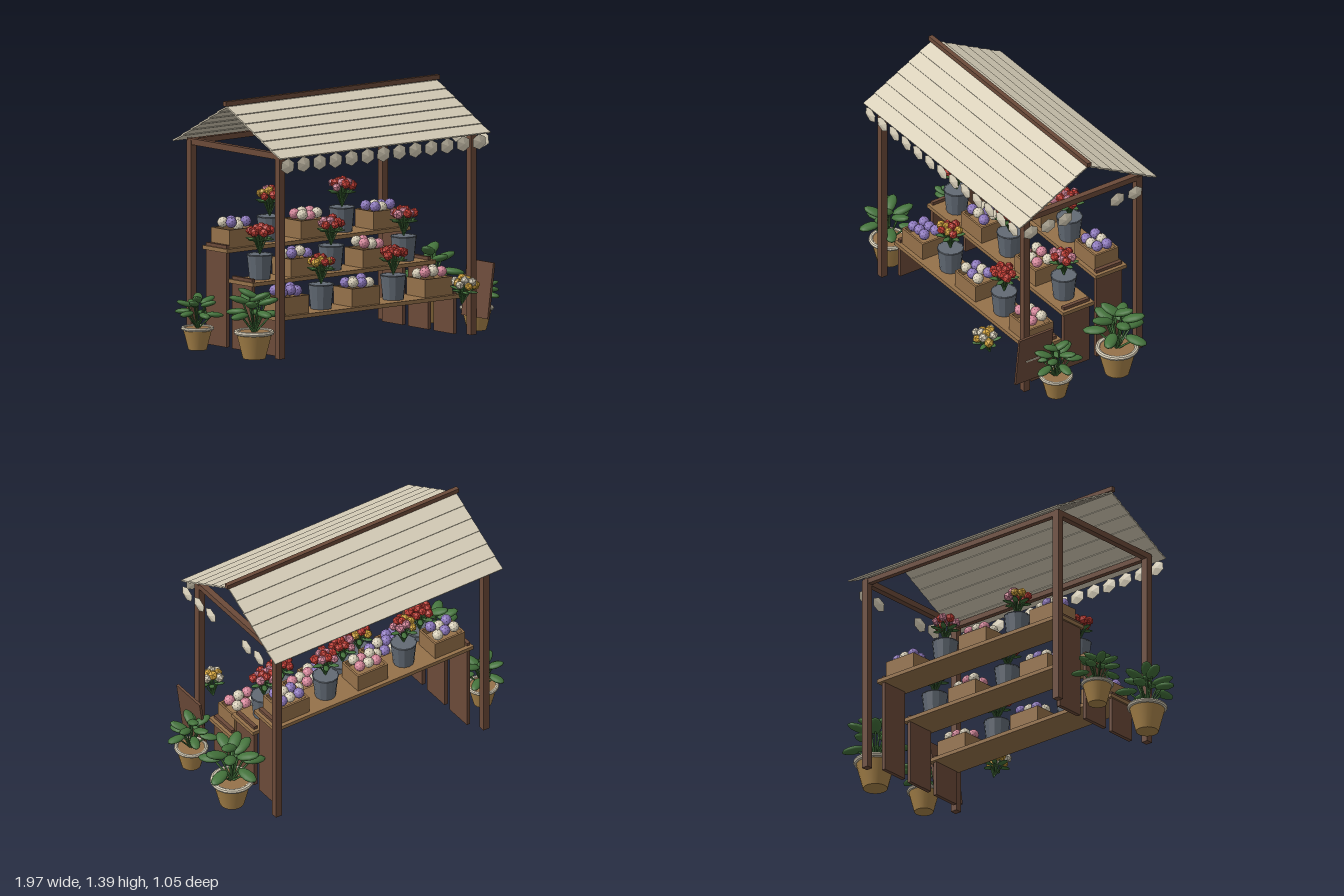
import * as THREE from 'three';

const mat = (name, color, flatShading = false) =>
  Object.assign(new THREE.MeshStandardMaterial({ color, flatShading }), { name });

export function createModel() {
  const darkWood = mat('dark wood', 0x6b4a39);
  const tanWood = mat('tan wood', 0x95714a);
  const terracotta = mat('ochre pot', 0xa9844a);
  const steel = mat('bucket steel', 0x626a74, true);
  const green = mat('leaf green', 0x44733c);
  const cream = mat('cream', 0xd9d0ba, true);
  const red = mat('petal red', 0xc63f36, true);
  const pink = mat('petal pink', 0xd6879b, true);
  const yellow = mat('petal yellow', 0xd8a840, true);
  const purple = mat('petal purple', 0x8d78bd, true);

  const model = new THREE.Group();
  let seed = 7;
  const rand = () => (seed = (seed * 16807) % 2147483647) / 2147483647;
  const V = (x, y, z) => new THREE.Vector3(x, y, z);

  const add = (parent, name, geo, material, x = 0, y = 0, z = 0) => {
    const m = new THREE.Mesh(geo, material);
    m.name = name;
    m.position.set(x, y, z);
    parent.add(m);
    return m;
  };
  const box = (parent, name, material, w, h, d, x, y, z) =>
    add(parent, name, new THREE.BoxGeometry(w, h, d), material, x, y, z);
  const group = (name, x, y, z, parent = model) => {
    const g = new THREE.Group();
    g.name = name;
    g.position.set(x, y, z);
    parent.add(g);
    return g;
  };
  const stem = (parent, a, b, r) => {
    const d = b.clone().sub(a);
    const m = add(parent, 'stem', new THREE.CylinderGeometry(r, r, d.length(), 5), green);
    m.position.copy(a).add(b).multiplyScalar(0.5);
    m.quaternion.setFromUnitVectors(V(0, 1, 0), d.normalize());
  };
  const leafGeo = new THREE.SphereGeometry(1, 10, 8);
  const leaf = (parent, pos, yaw, pitch, len, wide, thick) => {
    const m = add(parent, 'leaf', leafGeo, green, pos.x, pos.y, pos.z);
    m.rotation.set(0, yaw, pitch, 'YXZ');
    m.scale.set(len, thick, wide);
  };

  // Frame: posts, top rails and ridge
  const CX = -0.04, RZ = -0.067;
  for (const x of [-0.73, 0.65]) {
    for (const z of [0.307, -0.442]) box(model, 'post', darkWood, 0.04, 1.13, 0.04, x, 0.565, z);
    box(model, 'sideRail', darkWood, 0.035, 0.034, 0.785, x, 1.123, RZ);
  }
  for (const z of [0.307, -0.442]) box(model, 'longRail', darkWood, 1.4, 0.03, 0.03, CX, 1.123, z);
  box(model, 'ridgeBeam', darkWood, 1.54, 0.026, 0.026, CX, 1.379, RZ);

  // Roof of lapped boards
  const boards = 6, rise = 0.24, run = 0.45, slope = Math.atan2(rise, run);
  const boardLength = Math.hypot(rise, run) / boards;
  for (const s of [1, -1]) {
    for (let i = 0; i < boards; i++) {
      const t = (i + 0.5) / boards;
      const b = box(model, 'roofBoard', cream, 1.514, 0.008, boardLength + 0.01,
        CX, 1.363 - rise * t, RZ + s * run * t);
      b.rotation.x = s * (slope - 0.06);
    }
  }

  // Faceted bunting along the front and the right gable
  const flagGeo = new THREE.SphereGeometry(1, 6, 2);
  flagGeo.rotateX(Math.PI / 2);
  flagGeo.rotateZ(Math.PI / 6);
  const flag = (x, z, turn) => {
    const f = add(model, 'buntingFlag', flagGeo, cream, x, 1.078, z);
    f.scale.set(0.052, 0.044, 0.012);
    f.rotation.set(0, turn, (rand() - 0.5) * 0.25);
  };
  for (let i = 0; i < 13; i++) flag(-0.738 + i * 0.115, 0.382, 0);
  for (const z of [0.32, 0.204, 0.09, -0.256, -0.374]) flag(0.725, z, Math.PI / 2);

  // Bouquet: stems fan out from the origin to a dome of blooms
  const bloomGeo = new THREE.IcosahedronGeometry(1, 0);
  const bouquet = (x, y, z, colors, parent = model) => {
    const g = group('bouquet', x, y, z, parent);
    const n = 10;
    for (let i = 0; i < n; i++) {
      const r = 0.066 * Math.sqrt((i + 0.3) / n), a = i * 2.4 + x * 9;
      const p = V(Math.cos(a) * r, 0.143 - r * 0.5 + rand() * 0.015, Math.sin(a) * r);
      stem(g, V(0, 0, 0), p, 0.004);
      const b = add(g, 'bloom', bloomGeo, colors[i % colors.length], p.x, p.y, p.z);
      b.scale.setScalar(0.024 + rand() * 0.006);
      b.rotation.set(rand() * 3, rand() * 3, 0);
    }
    for (let i = 0; i < 6; i++) {
      const a = i * Math.PI / 3 + x;
      leaf(g, V(Math.cos(a) * 0.05, 0.08, -Math.sin(a) * 0.05), a, 0.15, 0.034, 0.016, 0.006);
    }
  };

  // Steel bucket with a rim
  const bucket = (x, y, z, colors) => {
    const g = group('flowerBucket', x, y, z);
    add(g, 'bucketBody', new THREE.CylinderGeometry(0.072, 0.058, 0.135, 12), steel, 0, 0.0675, 0);
    const rim = add(g, 'bucketRim', new THREE.TorusGeometry(0.071, 0.004, 5, 12), steel, 0, 0.134, 0);
    rim.rotation.x = Math.PI / 2;
    bouquet(0, 0.138, 0, colors, g);
  };

  // Wooden crate with rounded blooms inside
  const budGeo = new THREE.IcosahedronGeometry(0.031, 1);
  const crate = (x, y, z, colors) => {
    const g = group('crate', x, y, z);
    box(g, 'crateBase', tanWood, 0.19, 0.06, 0.148, 0, 0.03, 0);
    for (const s of [1, -1]) {
      box(g, 'crateSide', tanWood, 0.2, 0.1, 0.012, 0, 0.05, s * 0.073);
      box(g, 'crateEnd', tanWood, 0.012, 0.1, 0.146, s * 0.094, 0.05, 0);
    }
    for (let i = 0; i < 6; i++) {
      add(g, 'bud', budGeo, colors[i % colors.length],
        (i % 3 - 1) * 0.056 + (rand() - 0.5) * 0.012, 0.112 + rand() * 0.022, i < 3 ? 0.034 : -0.034);
    }
  };

  // Three stepped shelves, crates and buckets alternating
  const columns = [-0.556, -0.3, -0.043, 0.22, 0.481];
  const tiers = [
    { y: 0.22, z: 0.15, crateFirst: true, stock: [[purple], [red, yellow], [cream, purple], [red], [pink, cream]] },
    { y: 0.385, z: -0.068, crateFirst: false, stock: [[red], [purple, cream], [red, pink, red], [pink, cream], [red, pink]] },
    { y: 0.547, z: -0.285, crateFirst: true, stock: [[purple, cream], [red, yellow, pink], [cream, pink], [red, pink], [purple, cream, purple]] },
  ];
  for (const { y, z, crateFirst, stock } of tiers) {
    box(model, 'shelf', tanWood, 1.32, 0.022, 0.207, -0.035, y - 0.011, z);
    for (const x of [-0.674, 0.594]) box(model, 'shelfEnd', darkWood, 0.022, y + 0.018, 0.17, x, (y + 0.018) / 2, z);
    columns.forEach((x, i) => ((i % 2 === 0) === crateFirst ? crate : bucket)(x, y, z, stock[i]));
  }

  // Loose bouquet at the front
  const loose = group('frontBouquet', 0.48, 0.2, 0.425);
  loose.rotation.x = 0.22;
  bouquet(0, 0, 0, [yellow, cream], loose);

  // Leaning board with a thin pale strip
  const board = group('leaningBoard', 0.712, 0.245, 0.291);
  board.rotation.z = -0.135;
  box(board, 'boardPanel', darkWood, 0.014, 0.312, 0.224, 0, 0, 0);
  box(board, 'boardStrip', cream, 0.004, 0.008, 0.085, 0.009, -0.012, 0.012);

  // Potted leafy plants
  const pottedPlant = (x, z, s, turn) => {
    const g = group('pottedPlant', x, 0, z);
    g.scale.setScalar(s);
    g.rotation.y = turn;
    add(g, 'pot', new THREE.CylinderGeometry(0.108, 0.068, 0.155, 20), terracotta, 0, 0.0775, 0);
    const rim = add(g, 'potRim', new THREE.TorusGeometry(0.108, 0.014, 8, 20), cream, 0, 0.157, 0);
    rim.rotation.x = Math.PI / 2;
    add(g, 'soil', new THREE.CylinderGeometry(0.1, 0.1, 0.01, 20), tanWood, 0, 0.156, 0);
    const rings = [
      { n: 5, r: 0.125, y: 0.27, pitch: -0.1, a0: 0 },
      { n: 5, r: 0.09, y: 0.345, pitch: 0.3, a0: 0.63 },
      { n: 2, r: 0.035, y: 0.385, pitch: 0.4, a0: 0.2 },
    ];
    for (const { n, r, y, pitch, a0 } of rings) {
      for (let i = 0; i < n; i++) {
        const a = a0 + i * 2 * Math.PI / n + (rand() - 0.5) * 0.3, h = y + (rand() - 0.5) * 0.04;
        const p = V(Math.cos(a) * r, h, -Math.sin(a) * r);
        stem(g, V(0, 0.15, 0), V(p.x * 0.8, h - 0.01, p.z * 0.8), 0.006);
        leaf(g, p, a, pitch, 0.068, 0.036, 0.02);
      }
    }
  };
  pottedPlant(0.79, -0.21, 1, 0.3);
  pottedPlant(0.785, 0.193, 0.78, 1.1);
  pottedPlant(-0.825, 0.2, 0.92, 2);
  pottedPlant(-0.85, -0.25, 0.75, 0.7);

  return model;
}
